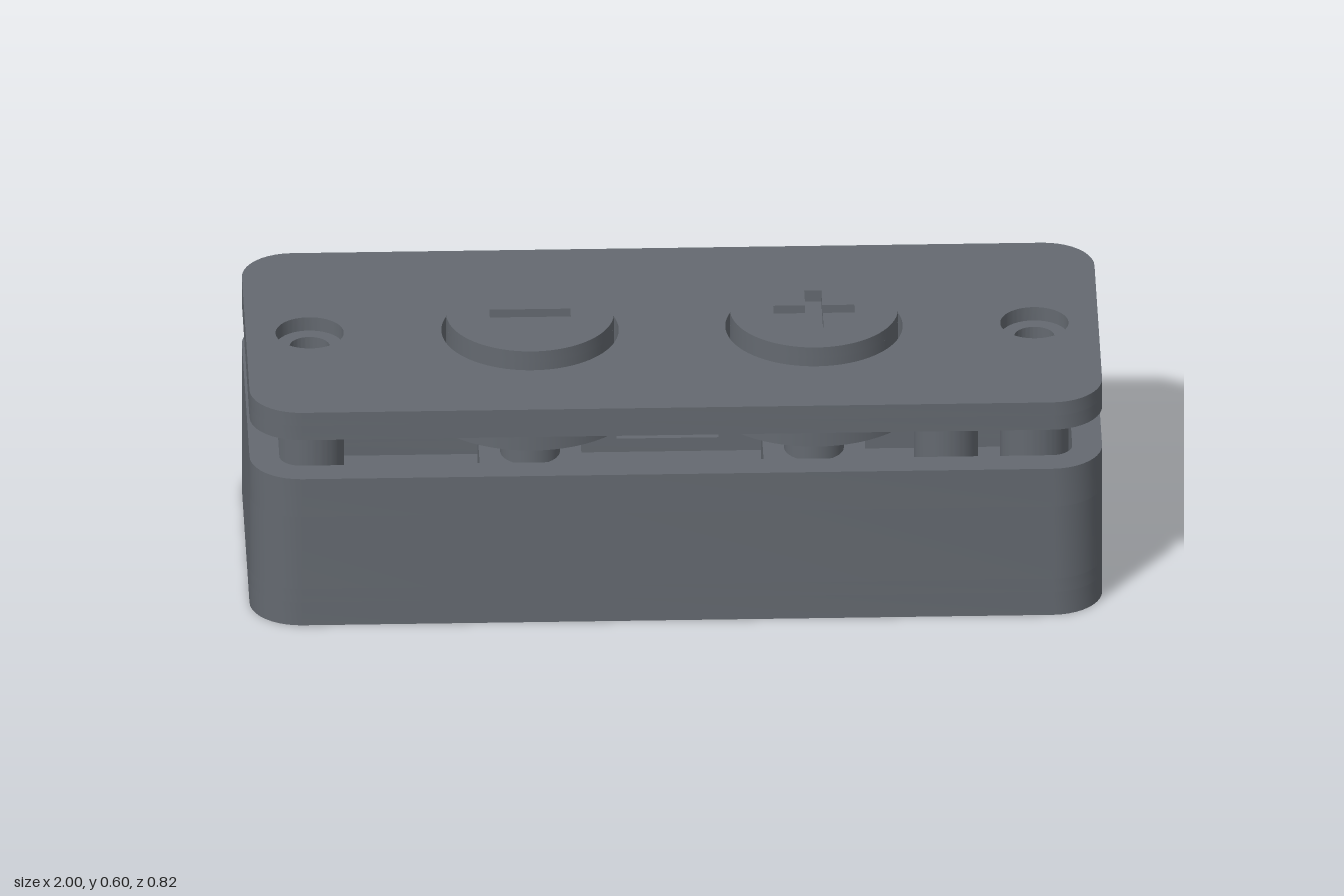
import * as THREE from 'three';
import { toCreasedNormals } from 'three/addons/utils/BufferGeometryUtils.js';

const HX = 1, HZ = 0.41, R = 0.12, WALL = 0.07;
const RIM = 0.385, LID_LOW = 0.488, LID_TOP = 0.56, BUTTON_TOP = 0.604;

// Rounded rectangle outline, counter-clockwise, from the middle of the back edge
function outline(hx, hz, r) {
  const pts = [];
  for (const [sx, sy, a0] of [[-1, 1, 0.5], [-1, -1, 1], [1, -1, 1.5], [1, 1, 2]]) {
    for (let i = 0; i <= 10; i++) {
      const a = (a0 + i / 20) * Math.PI;
      pts.push(new THREE.Vector2(sx * (hx - r) + r * Math.cos(a), sy * (hz - r) + r * Math.sin(a)));
    }
  }
  return pts;
}

function circle(x, z, r) {
  return new THREE.Path().absarc(x, -z, r, 0, Math.PI * 2, true);
}

// Upright slab of a plan shape between two heights
function slab(shape, y0, y1) {
  const g = new THREE.ExtrudeGeometry(shape, { depth: y1 - y0, bevelEnabled: false, curveSegments: 40 });
  g.rotateX(-Math.PI / 2);
  g.translate(0, y0, 0);
  return toCreasedNormals(g, 0.5);
}

export function createModel() {
  const plastic = new THREE.MeshStandardMaterial({ color: 0x646970 });
  plastic.name = 'greyPlastic';
  const model = new THREE.Group();
  model.name = 'twoButtonBox';

  const add = (parent, name, geometry) => {
    const mesh = new THREE.Mesh(geometry, plastic);
    mesh.name = name;
    parent.add(mesh);
    return mesh;
  };
  const group = (name) => {
    const g = new THREE.Group();
    g.name = name;
    model.add(g);
    return g;
  };

  // Case: floor with two screw holes, then the wall in three bands
  const body = group('case');
  const screws = [[0.65, -0.25], [-0.65, 0.25]];
  const floor = new THREE.Shape(outline(HX, HZ, R));
  screws.forEach(([x, z]) => floor.holes.push(circle(x, z, 0.043)));
  add(body, 'caseFloor', slab(floor, 0, 0.06));

  const inner = outline(HX - WALL, HZ - WALL, R - WALL);
  const ring = new THREE.Shape(outline(HX, HZ, R));
  ring.holes.push(new THREE.Path(inner));
  add(body, 'lowerWall', slab(ring, 0.06, 0.095));
  add(body, 'upperWall', slab(ring, 0.285, RIM));

  // Middle band is left open at the back for the cable port
  const port = 0.12;
  const open = [
    new THREE.Vector2(-port, HZ), ...outline(HX, HZ, R), new THREE.Vector2(port, HZ),
    new THREE.Vector2(port, HZ - WALL), ...inner.slice().reverse(), new THREE.Vector2(-port, HZ - WALL),
  ];
  add(body, 'portWall', slab(new THREE.Shape(open), 0.095, 0.285));

  // Hollow screw posts
  for (const [x, z] of screws) {
    const post = new THREE.Shape().absarc(x, -z, 0.075, 0, Math.PI * 2, false);
    post.holes.push(circle(x, z, 0.043));
    add(body, 'screwPost', slab(post, 0.06, 0.3));
  }
  // Lid supports at both ends
  for (const x of [-0.85, 0.85]) {
    const post = new THREE.Shape().absarc(x, 0, 0.08, 0, Math.PI * 2, false);
    post.holes.push(circle(x, 0, 0.04));
    add(body, 'lidPost', slab(post, 0.06, 0.37));
  }

  // Lid: through holes below, wider counterbores above
  const lid = group('lid');
  const lidLayer = (name, screwRadius, y0, y1) => {
    const s = new THREE.Shape(outline(HX, HZ, R));
    for (const side of [-1, 1]) {
      s.holes.push(circle(side * 0.85, 0, screwRadius));
      s.holes.push(circle(side * 0.333, 0, 0.208));
    }
    add(lid, name, slab(s, y0, y1));
  };
  lidLayer('lidLower', 0.047, LID_LOW, 0.525);
  lidLayer('lidUpper', 0.08, 0.525, LID_TOP);

  // Buttons with a sunken plus or minus
  const a = 0.095, b = 0.02;
  const signs = {
    minus: [[-a, -b], [-a, b], [a, b], [a, -b]],
    plus: [[-a, -b], [-a, b], [-b, b], [-b, a], [b, a], [b, b],
      [a, b], [a, -b], [b, -b], [b, -a], [-b, -a], [-b, -b]],
  };
  for (const [sign, x] of [['minus', -0.333], ['plus', 0.333]]) {
    const button = group(sign + 'Button');
    button.position.x = x;
    const disc = (name, r, y0, y1) =>
      add(button, name, new THREE.CylinderGeometry(r, r, y1 - y0, 64).translate(0, (y0 + y1) / 2, 0));
    disc('flange', 0.26, 0.375, LID_LOW - 0.001);
    disc('capBase', 0.197, 0.48, 0.575);
    const cap = new THREE.Shape().absarc(0, 0, 0.197, 0, Math.PI * 2, false);
    cap.holes.push(new THREE.Path(signs[sign].map(([px, py]) => new THREE.Vector2(px, py))));
    add(button, 'capTop', slab(cap, 0.575, BUTTON_TOP));
    // Switch beneath the button
    disc('plunger', 0.07, 0.24, 0.375);
    add(button, 'switchBody', new THREE.BoxGeometry(0.24, 0.18, 0.24).translate(0, 0.15, 0));
  }

  return model;
}
